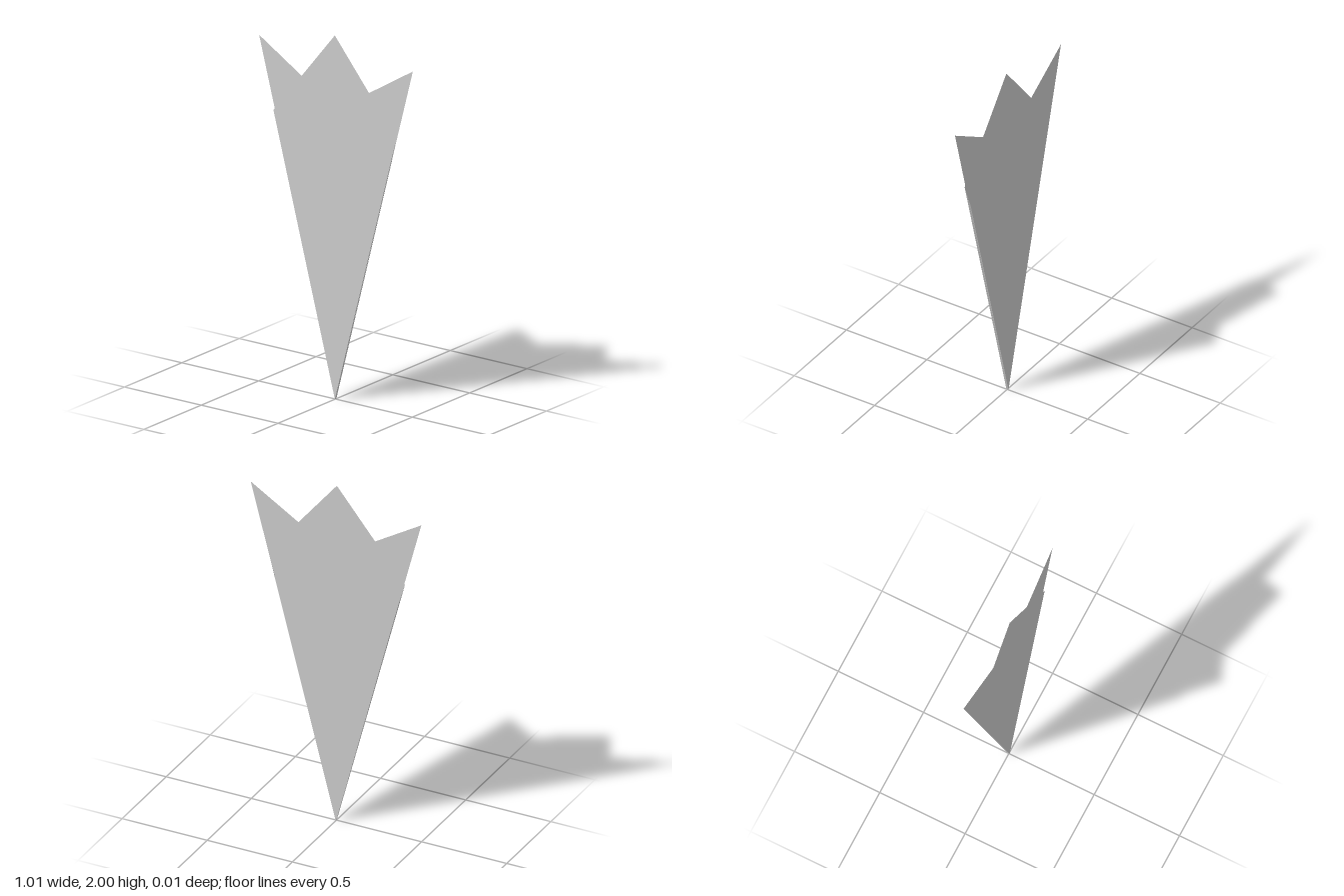
import * as THREE from 'three';

const material = new THREE.MeshStandardMaterial({
  color: 0xcccccc, flatShading: true, side: THREE.DoubleSide,
});

// Flat panel of folded paper, lying at depth z
function panel(name, outline, z) {
  const shape = new THREE.Shape(outline.map(([x, y]) => new THREE.Vector2(x, y)));
  const mesh = new THREE.Mesh(new THREE.ShapeGeometry(shape), material);
  mesh.name = name;
  mesh.position.z = z;
  return mesh;
}

// Narrow crease strip joining the front panel to a flap, from the bottom point up
function crease(name, side, zFront, zFlap) {
  const points = [
    [0, 0, zFront], [side * 0.4, 1.51, zFront],
    [side * 0.36, 1.37, zFlap], [0, 0, zFlap],
  ];
  const geometry = new THREE.BufferGeometry();
  geometry.setAttribute('position', new THREE.Float32BufferAttribute(points.flat(), 3));
  geometry.setIndex(side > 0 ? [0, 2, 1, 0, 3, 2] : [0, 1, 2, 0, 2, 3]);
  geometry.computeVertexNormals();
  const mesh = new THREE.Mesh(geometry, material);
  mesh.name = name;
  return mesh;
}

export function createModel() {
  const group = new THREE.Group();
  group.name = 'foldedPaperCone';
  const zFront = 0.005;

  // Kite-shaped middle third of the sheet
  group.add(panel('frontPanel', [[0, 0], [0.4, 1.51], [0, 2], [-0.4, 1.51]], zFront));

  // Outer thirds, each folded behind and ending in a tip on the opposite side
  for (const [label, side, z] of [['inner', 1, -0.002], ['outer', -1, -0.008]]) {
    group.add(panel(label + 'Flap', [[0, 0], [side * 0.503, 1.9], [-side * 0.36, 1.37]], z));
    group.add(crease(label + 'Crease', -side, zFront, z));
  }
  return group;
}
